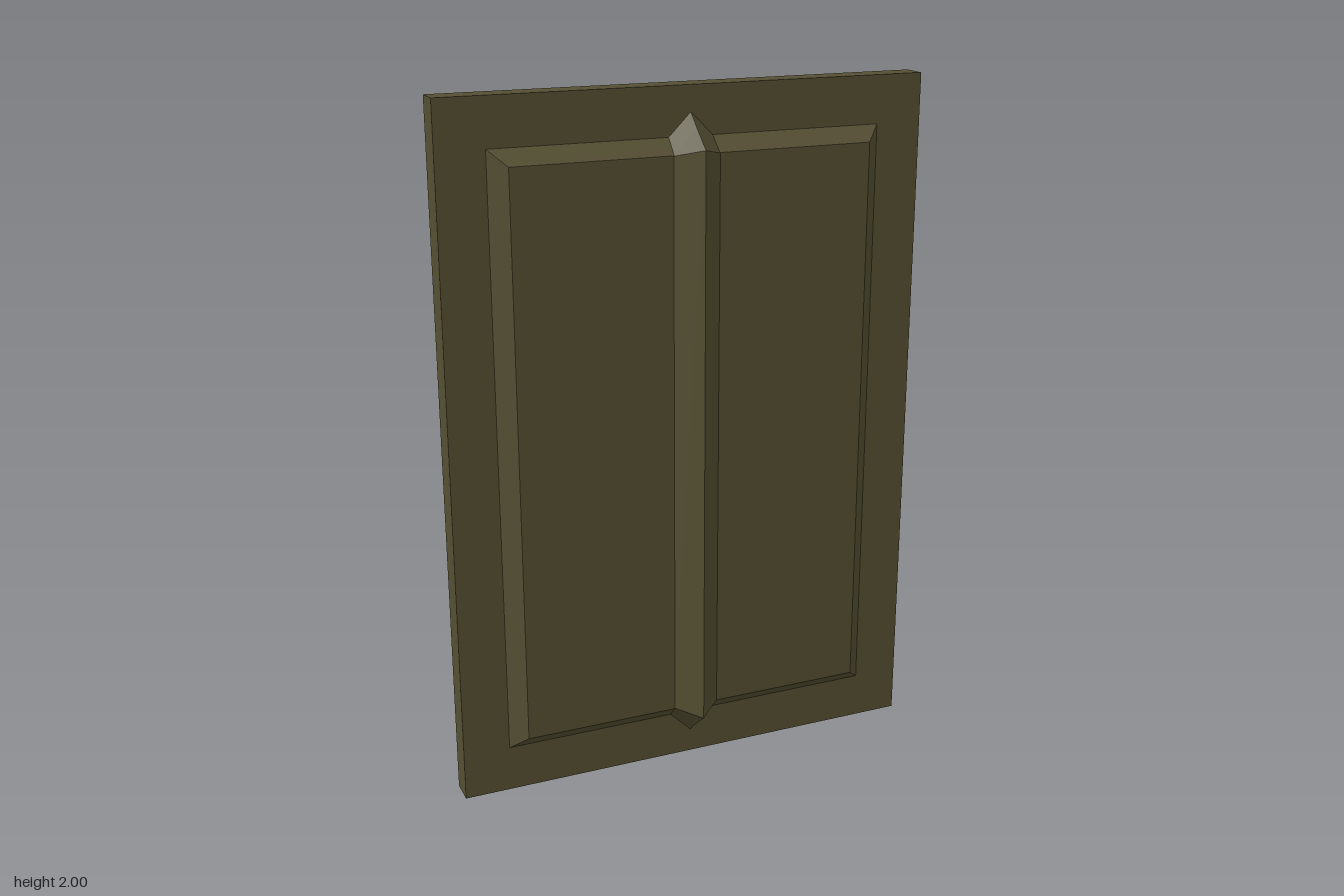
import * as THREE from 'three';

const material = new THREE.MeshStandardMaterial({ color: 0x555033, flatShading: true });

function part(name, geometry) {
  const mesh = new THREE.Mesh(geometry, material);
  mesh.name = name;
  return mesh;
}

// Raised field: a box whose outer face is drawn in to make the bevel
function raisedFieldGeometry() {
  const g = new THREE.BoxGeometry(1.14, 1.73, 0.045);
  const p = g.attributes.position;
  for (let i = 0; i < p.count; i++) {
    if (p.getZ(i) > 0) {
      p.setX(i, Math.sign(p.getX(i)) * 0.523);
      p.setY(i, Math.sign(p.getY(i)) * 0.822);
    }
  }
  g.translate(0, 1, 0.0595);
  g.computeVertexNormals();
  return g;
}

// Ridged rib: three profiles (left edge, ridge, right edge) joined by strips
function ribGeometry() {
  const mirrorEnds = half => [...half, ...half.map(([y, z]) => [2 - y, z]).reverse()];
  const edge = mirrorEnds([[0.14, 0.036], [0.18, 0.08], [0.18, 0.08]]);
  const ridge = mirrorEnds([[0.07, 0.036], [0.11, 0.08], [0.16, 0.14]]);
  const loops = [[-0.07, edge], [0, ridge], [0.07, edge]]
    .map(([x, profile]) => profile.map(([y, z]) => new THREE.Vector3(x, y, z)));
  const points = [];
  const quad = (a, b, c, d) => {
    for (const [p, q, r] of [[a, b, c], [a, c, d]]) {
      if (!p.equals(q) && !q.equals(r) && !r.equals(p)) points.push(p, q, r);
    }
  };
  for (let j = 0; j < 2; j++) {
    for (let i = 0; i < 5; i++) {
      quad(loops[j][i], loops[j + 1][i], loops[j + 1][i + 1], loops[j][i + 1]);
    }
  }
  // Upright side walls
  const [l, , r] = loops;
  quad(r[0], r[5], r[4], r[1]);
  quad(l[0], l[1], l[4], l[5]);
  const g = new THREE.BufferGeometry().setFromPoints(points);
  g.computeVertexNormals();
  return g;
}

export function createModel() {
  const model = new THREE.Group();
  model.name = 'panelledDoor';

  // Flat slab
  const slab = part('slab', new THREE.BoxGeometry(1.41, 2, 0.076));
  slab.position.y = 1;
  model.add(slab);

  // The same mouldings on both faces
  const field = raisedFieldGeometry();
  const rib = ribGeometry();
  for (const [name, turn] of [['front', 0], ['back', Math.PI]]) {
    const face = new THREE.Group();
    face.name = name + 'Face';
    face.add(part(name + 'RaisedField', field), part(name + 'CentreRib', rib));
    face.rotation.y = turn;
    model.add(face);
  }
  return model;
}
